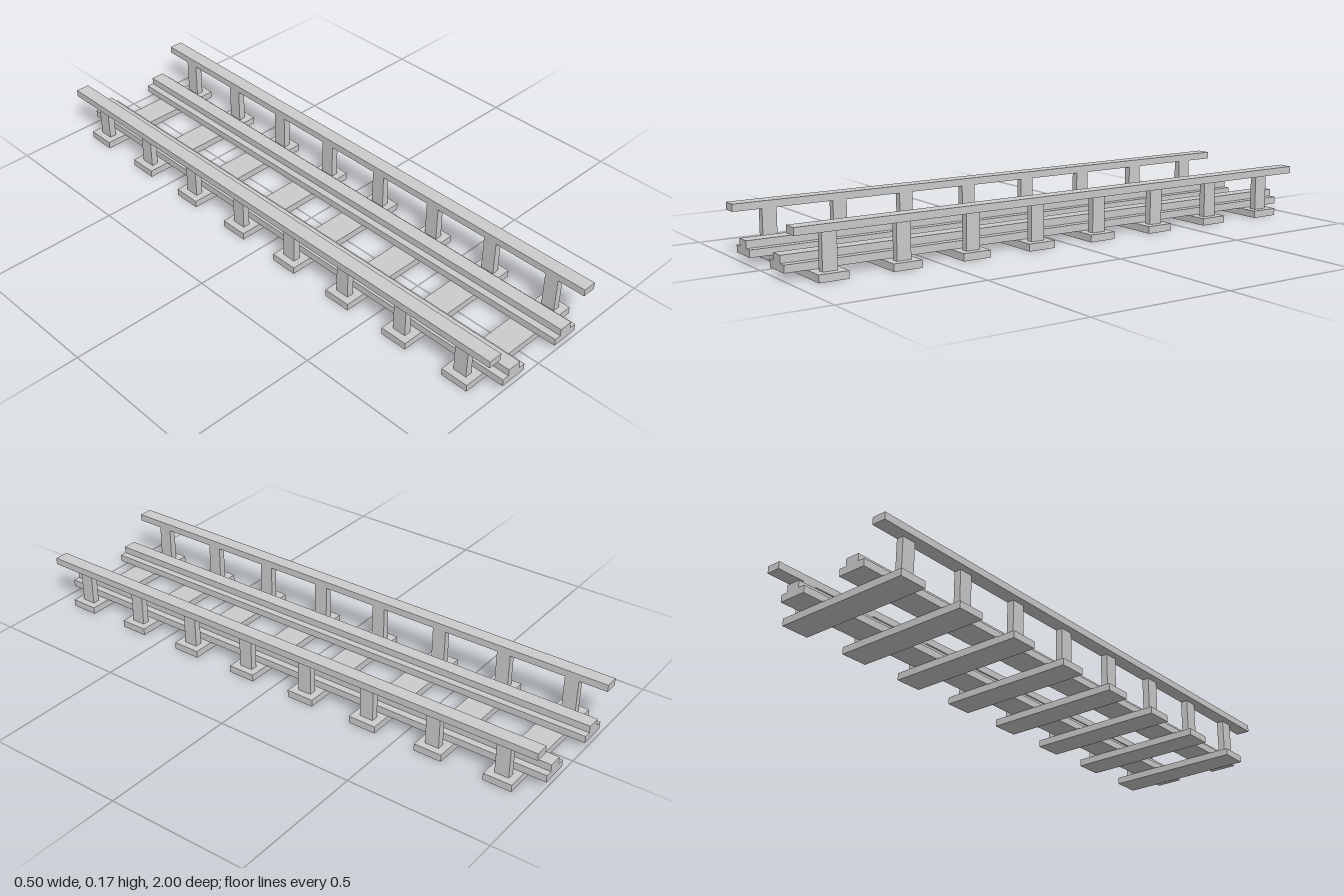
import * as THREE from 'three';

const LENGTH = 2;
const SLEEPERS = 8;
const SPACING = LENGTH / SLEEPERS;

export function createModel() {
  const model = new THREE.Group();
  model.name = 'railTrack';
  const material = new THREE.MeshStandardMaterial({ color: 0xcccccc, flatShading: true });

  const add = (name, geometry, x, y, z) => {
    const mesh = new THREE.Mesh(geometry, material);
    mesh.name = name;
    mesh.position.set(x, y, z);
    model.add(mesh);
  };

  // Stepped rail: wide foot with a narrower head, run along z
  const profile = new THREE.Shape([
    [-0.05, 0], [0.05, 0], [0.05, 0.025], [0.025, 0.025],
    [0.025, 0.05], [-0.025, 0.05], [-0.025, 0.025], [-0.05, 0.025],
  ].map(([x, y]) => new THREE.Vector2(x, y)));
  const rail = new THREE.ExtrudeGeometry(profile, { depth: LENGTH, bevelEnabled: false });
  rail.translate(0, 0, -LENGTH / 2);

  const handrail = new THREE.BoxGeometry(0.05, 0.025, LENGTH);
  const sleeper = new THREE.BoxGeometry(0.5, 0.025, 0.1);
  const post = new THREE.BoxGeometry(0.025, 0.125, 0.05);

  // Rails and handrails, mirrored left and right
  for (const [side, s] of [['left', 1], ['right', -1]]) {
    add(side + 'Rail', rail, s * 0.125, 0.025, 0);
    add(side + 'Handrail', handrail, s * 0.225, 0.1625, 0);
  }

  // Sleepers, each carrying a post at both ends
  for (let i = 0; i < SLEEPERS; i++) {
    const z = -LENGTH / 2 + (i + 0.5) * SPACING;
    add('sleeper', sleeper, 0, 0.0125, z);
    add('leftPost', post, 0.2125, 0.0875, z);
    add('rightPost', post, -0.2125, 0.0875, z);
  }
  return model;
}
